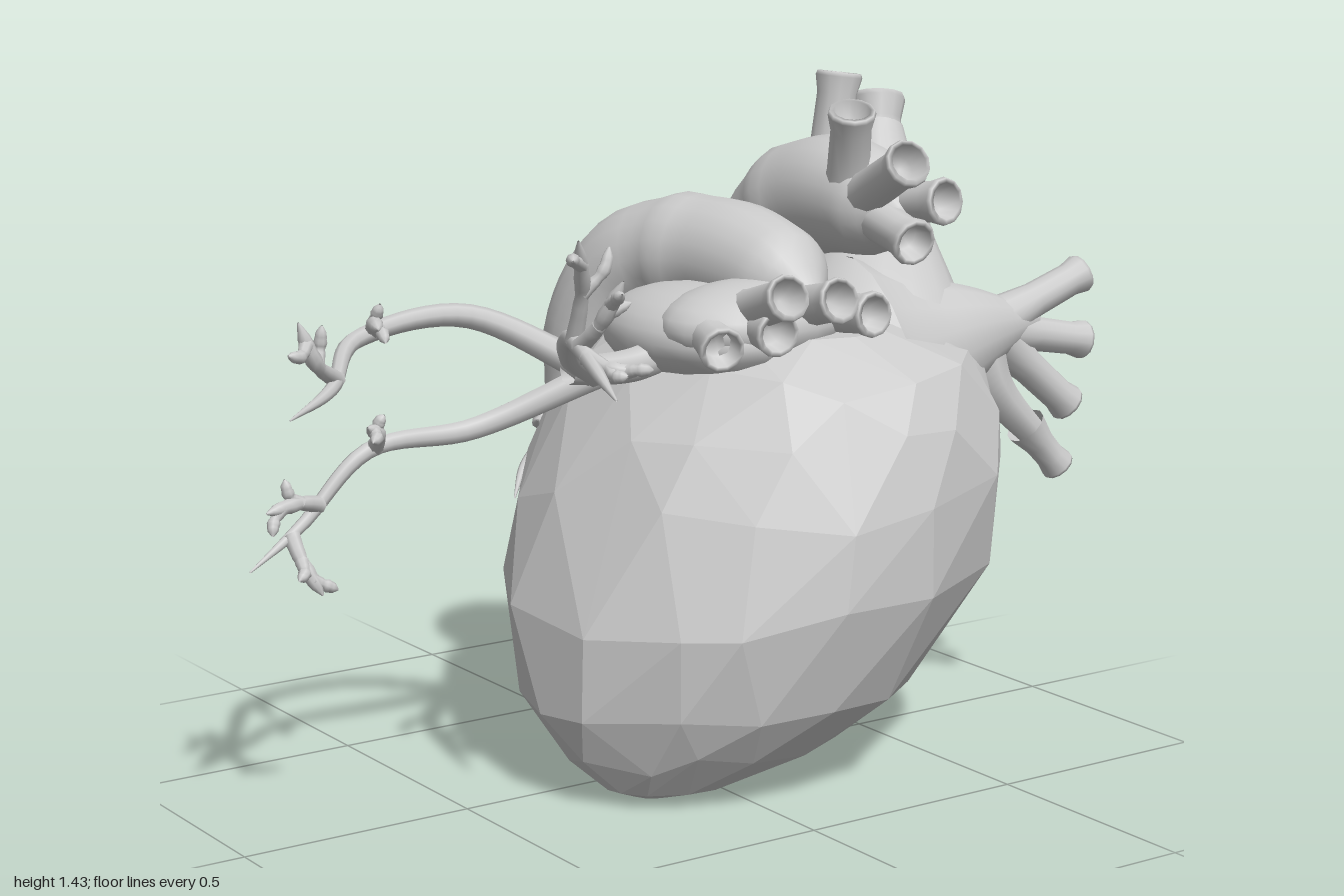
import * as THREE from 'three';
import { mergeVertices } from 'three/addons/utils/BufferGeometryUtils.js';
import { ConvexGeometry } from 'three/addons/geometries/ConvexGeometry.js';

const V = (x, y, z) => new THREE.Vector3(x, y, z);
const smooth = new THREE.MeshStandardMaterial({ color: 0xcccccc, side: THREE.DoubleSide });
const faceted = new THREE.MeshStandardMaterial({ color: 0xcccccc, flatShading: true });
const TURN = Math.PI * 2;

let seed = 7;
const jitter = (a) => {
  seed = (seed * 16807) % 2147483647;
  return (seed / 1073741823 - 1) * a;
};

// Body sections: y, x min, x max, z min, z max
const sections = [
  [0, -0.18, -0.06, 0.07, 0.17],
  [0.03, -0.25, 0.09, -0.01, 0.26],
  [0.1, -0.315, 0.38, -0.18, 0.35],
  [0.2, -0.355, 0.53, -0.33, 0.43],
  [0.4, -0.35, 0.7, -0.47, 0.505],
  [0.6, -0.265, 0.76, -0.54, 0.5],
  [0.75, -0.175, 0.75, -0.55, 0.46],
  [0.86, -0.075, 0.68, -0.48, 0.4],
  [0.93, 0.035, 0.5, -0.32, 0.27],
];

// Point on the body at height y and angle a
function bodyPoint(y, a) {
  const i = Math.max(1, sections.findIndex((s) => s[0] >= y));
  const low = sections[i - 1], high = sections[i];
  const t = (y - low[0]) / (high[0] - low[0]);
  const [, x0, x1, z0, z1] = low.map((v, j) => THREE.MathUtils.lerp(v, high[j], t));
  return V((x0 + x1 + Math.cos(a) * (x1 - x0)) / 2, y, (z0 + z1 + Math.sin(a) * (z1 - z0)) / 2);
}

const spline = (points) => new THREE.CatmullRomCurve3(points.map((p) => V(...p)));

// Smooth tube along a curve, its radius following a list of values
function tube(name, curve, radii, sides = 8, steps = 20) {
  const sizes = spline(radii.map((r) => [r, 0, 0]));
  let geo = new THREE.TubeGeometry(curve, steps, 1, sides);
  const pos = geo.attributes.position, v = V();
  for (let k = 0; k < pos.count; k++) {
    const t = Math.floor(k / (sides + 1)) / steps;
    const centre = curve.getPointAt(t);
    v.fromBufferAttribute(pos, k).sub(centre).multiplyScalar(sizes.getPoint(t).x).add(centre);
    pos.setXYZ(k, v.x, v.y, v.z);
  }
  geo.deleteAttribute('normal');
  geo.deleteAttribute('uv');
  geo = mergeVertices(geo, 1e-5);
  geo.computeVertexNormals();
  const mesh = new THREE.Mesh(geo, smooth);
  mesh.name = name;
  return mesh;
}

// Straight vessel end with a flared lip and a hollow mouth
function stub(name, from, to, r) {
  const axis = to.clone().sub(from), len = axis.length();
  const profile = [
    [r * 1.35, 0], [r, len * 0.4], [r * 0.95, len - r], [r * 1.12, len - r * 0.2],
    [r * 1.05, len], [r * 0.85, len], [r * 0.65, len - r], [0, len - r],
  ].map((p) => new THREE.Vector2(...p));
  const mesh = new THREE.Mesh(new THREE.LatheGeometry(profile, 12), smooth);
  mesh.name = name;
  mesh.position.copy(from);
  mesh.quaternion.setFromUnitVectors(V(0, 1, 0), axis.normalize());
  return mesh;
}

// Smooth rounded chamber
function chamber(name, size, position) {
  const mesh = new THREE.Mesh(new THREE.SphereGeometry(1, 20, 12), smooth);
  mesh.name = name;
  mesh.scale.copy(size);
  mesh.position.copy(position);
  return mesh;
}

// Faceted hull from staggered rings of jittered points
function hull(name, rows, perRow, place) {
  const points = [];
  for (let row = 0; row < rows; row++) {
    for (let i = 0; i < perRow; i++) {
      points.push(place(row, ((i + (row % 2) / 2) / perRow) * TURN + jitter(0.12)));
    }
  }
  const mesh = new THREE.Mesh(new ConvexGeometry(points), faceted);
  mesh.name = name;
  return mesh;
}

// Twig leaving a curve at t, which forks again into smaller twigs
function twig(group, parent, t, offset, r, depth = 1) {
  const start = parent.getPoint(t), end = start.clone().add(offset);
  const size = offset.length();
  const middle = start.clone().lerp(end, 0.5).add(V(jitter(0.15), jitter(0.15), jitter(0.15)).multiplyScalar(size));
  const curve = new THREE.CatmullRomCurve3([start, middle, end]);
  group.add(tube('twig', curve, [r, r * 0.85, r * 0.8, r * 0.8, r * 0.75, 0.002], 8, 12));
  if (depth) {
    [-1, 1].forEach((s) => {
      const turned = offset.clone().applyAxisAngle(V(0.4, 0.2, 1).normalize(), s * 0.95);
      twig(group, curve, 0.6 + s * 0.15, turned.multiplyScalar(0.42), r * 0.8, depth - 1);
    });
  }
}

export function createModel() {
  const model = new THREE.Group();
  model.name = 'heart';

  // Faceted ventricles, and the atrium bulging at the back left
  model.add(hull('ventricles', sections.length, 15, (row, a) => {
    const inner = row > 1 && row < sections.length - 1;
    return bodyPoint(sections[row][0] + (inner ? jitter(0.035) : 0), a);
  }));
  model.add(hull('backAtrium', 7, 10, (row, a) => {
    const p = (row / 6 - 0.5) * Math.PI, y = Math.sin(p) * 0.33, w = Math.cos(p);
    return V(0.45 + w * Math.cos(a) * 0.31, 0.6 + y, -0.19 - y * 0.4 + w * Math.sin(a) * 0.37);
  }));

  // Great vein rising from the left side out of a broad flare
  const veinPath = spline([[0.48, 0.7, 0.02], [0.53, 0.88, -0.01], [0.61, 1.06, -0.1], [0.685, 1.28, -0.205]]);
  model.add(tube('greatVein', veinPath, [0.3, 0.25, 0.18, 0.125, 0.09, 0.06], 20));
  model.add(stub('greatVeinMouth', V(0.67, 1.22, -0.18), V(0.7, 1.35, -0.22), 0.055));

  // Fan of four veins on the left
  model.add(tube('veinRoot', spline([[0.48, 0.82, 0.06], [0.67, 0.87, 0.11], [0.86, 0.89, 0.14]]),
    [0.24, 0.15, 0.085, 0.02], 16));
  const sideVeins = [[0.98, 0.98], [0.99, 0.83], [0.95, 0.69]];
  sideVeins.forEach(([x, y]) =>
    model.add(stub('sideVein', V(0.77, 0.73 + y * 0.17, 0.13), V(x, y, 0.15), 0.038)));
  model.add(tube('lowerVein', spline([[0.7, 0.86, 0.13], [0.73, 0.76, 0.15], [0.86, 0.62, 0.165]]),
    [0.06, 0.042, 0.03]));
  model.add(stub('lowerVeinMouth', V(0.82, 0.66, 0.16), V(0.91, 0.56, 0.17), 0.034));

  // Aortic arch with its branches
  const archRadii = [0.13, 0.13, 0.132, 0.13, 0.13, 0.125, 0.11, 0];
  model.add(tube('aorta', spline([[0.45, 0.75, -0.27], [0.45, 0.95, -0.285], [0.45, 1.1, -0.21],
    [0.45, 1.17, -0.05], [0.45, 1.15, 0.22]]), archRadii, 20, 30));
  const aortaEnds = [[0.51, 1.42, -0.11], [0.36, 1.37, 0.13], [0.375, 1.28, 0.3], [0.49, 1.19, 0.28], [0.41, 1.11, 0.28]];
  aortaEnds.forEach(([x, y, z]) =>
    model.add(stub('aortaBranch', V(0.25 + x * 0.44, 1.16, Math.min(z, 0.05)), V(x, y, z), 0.045)));

  // Pulmonary trunk arching forward, with its chambers and front mouths
  model.add(tube('pulmonaryTrunk', spline([[0.1, 0.68, -0.41], [0.11, 0.85, -0.42], [0.15, 1, -0.34],
    [0.21, 1.045, -0.12], [0.22, 1, 0.22]]), archRadii, 20, 30));
  model.add(chamber('sideLobe', V(0.17, 0.1, 0.25), V(0.07, 0.92, -0.01)));
  model.add(chamber('frontLobe', V(0.21, 0.09, 0.15), V(0.13, 0.95, 0.1)));
  const mouths = [[-0.04, 0.93, 0.24], [0.055, 1.04, 0.33], [0.19, 1.02, 0.32], [0.285, 0.98, 0.31], [0.06, 0.96, 0.29]];
  mouths.forEach(([x, y, z]) =>
    model.add(stub('pulmonaryBranch', V(x * 0.8 + 0.04, 0.96, 0.08), V(x, y, z), 0.043)));

  // Long branching vessels reaching out to the right
  const reach = new THREE.Group();
  reach.name = 'branchingVessels';
  model.add(reach);
  const limb = (path, r, forks) => {
    const curve = spline(path);
    reach.add(tube('branchVessel', curve, [r, r * 0.85, r * 0.72, r * 0.6, r * 0.5, r * 0.4, 0.002], 8, 32));
    forks.forEach(([t, ...offset]) => twig(reach, curve, t, V(...offset), r * 0.58));
  };
  reach.add(tube('vesselRoot', spline([[0.05, 0.92, 0.02], [-0.1, 0.875, 0.02], [-0.27, 0.88, 0.03]]), [0.045, 0.036, 0.028]));
  limb([[-0.2, 0.87, 0.02], [-0.32, 0.93, 0.12], [-0.42, 1, 0.28], [-0.51, 0.94, 0.57]], 0.032,
    [[0.7, -0.06, 0.21, 0.11], [0.75, 0.02, 0.14, 0.12], [0.8, 0.06, -0.02, 0.1]]);
  limb([[-0.2, 0.87, 0.02], [-0.43, 0.99, -0.1], [-0.68, 0.97, -0.09], [-0.84, 0.92, 0.1], [-0.99, 0.9, 0.22]], 0.032,
    [[0.7, -0.11, 0.13, 0.06], [0.45, -0.06, 0.03, 0.13]]);
  limb([[-0.18, 0.86, 0], [-0.42, 0.76, -0.09], [-0.65, 0.74, -0.11], [-0.8, 0.61, -0.11], [-0.93, 0.54, -0.08]], 0.032,
    [[0.68, -0.14, 0.01, 0.05], [0.8, 0.03, -0.11, 0.07], [0.48, -0.06, 0.06, 0.08]]);

  // Thin arteries winding over the back, given by height range and angle range
  const arteries = [[0.88, 0.24, 4.4, 4.1, 0.024], [0.75, 0.54, 4.35, 3.85, 0.016],
    [0.5, 0.34, 4.28, 3.9, 0.014], [0.66, 0.7, 4.1, 3.75, 0.013]];
  arteries.forEach(([y0, y1, a0, a1, r]) => {
    const points = [0, 0.2, 0.4, 0.6, 0.8, 1].map((t) =>
      bodyPoint(THREE.MathUtils.lerp(y0, y1, t), THREE.MathUtils.lerp(a0, a1, t) + jitter(0.06)));
    model.add(tube('surfaceArtery', new THREE.CatmullRomCurve3(points), [r, r, r * 0.8, r * 0.7, 0.002]));
  });

  return model;
}
